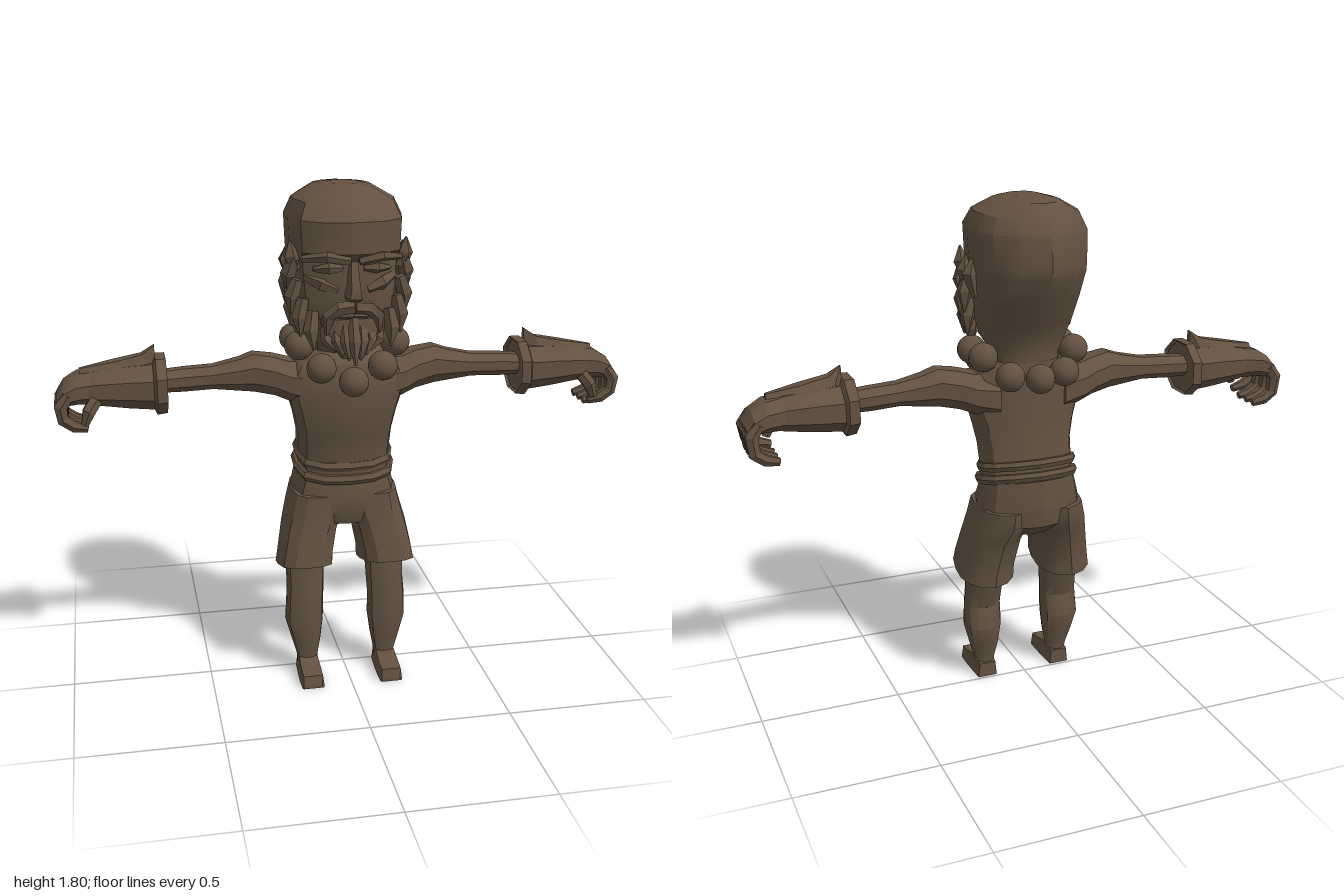
import * as THREE from 'three';
import { toCreasedNormals } from 'three/addons/utils/BufferGeometryUtils.js';

const brown = new THREE.MeshStandardMaterial({ color: 0x635141 });
brown.name = 'carvedBrown';

// Half outline of a body cross-section as (x, z) factors, front to back
const OUTLINE = [[0, 1], [0.5, 0.94], [0.87, 0.7], [1, 0.2], [1, -0.25], [0.86, -0.6], [0.5, -0.87], [0, -1]];
const RING = [...OUTLINE, ...OUTLINE.slice(1, -1).reverse().map(([x, z]) => [-x, z])];

// Skins a row of equal-sized rings of points, caps both ends and turns all faces outward
function loft(rings, crease = 0.5) {
  const n = rings[0].length, pos = rings.flat(2), idx = [];
  for (let i = 0; i < rings.length - 1; i++)
    for (let j = 0; j < n; j++) {
      const k = (j + 1) % n, a = i * n, b = a + n;
      idx.push(a + j, a + k, b + k, a + j, b + k, b + j);
    }
  [0, rings.length - 1].forEach((r, end) => {
    const c = pos.length / 3;
    for (let m = 0; m < 3; m++) pos.push(rings[r].reduce((s, p) => s + p[m], 0) / n);
    for (let j = 0; j < n; j++) {
      const a = r * n + j, b = r * n + (j + 1) % n;
      idx.push(c, ...(end ? [a, b] : [b, a]));
    }
  });
  const at = (i) => new THREE.Vector3().fromArray(pos, i * 3);
  let volume = 0;
  for (let i = 0; i < idx.length; i += 3) volume += at(idx[i]).dot(at(idx[i + 1]).cross(at(idx[i + 2])));
  if (volume < 0) idx.reverse();
  const g = new THREE.BufferGeometry();
  g.setAttribute('position', new THREE.Float32BufferAttribute(pos, 3));
  g.setIndex(idx);
  return toCreasedNormals(g, crease);
}

// Level ring: height, front z, back z, half width, centre x, slope along z
const level = ([y, zf, zb, w, cx = 0, tilt = 0]) => RING.map(([u, v]) => {
  const z = (zf + zb) / 2 + v * (zf - zb) / 2;
  return [cx + u * w, y + tilt * z, z];
});
const body = (rows, crease) => loft(rows.map(level), crease);

// Upright ring across an arm: x, bottom y, top y, back z, front z
const limb = (rows, s, sides = 8) => loft(rows.map(([x, y0, y1, z0, z1]) =>
  Array.from({ length: sides }, (_, i) => {
    const a = (i + 0.5) / sides * Math.PI * 2, k = 1 / Math.cos(Math.PI / sides);
    return [s * x, (y0 + y1) / 2 + Math.cos(a) * k * (y1 - y0) / 2, (z0 + z1) / 2 + Math.sin(a) * k * (z1 - z0) / 2];
  })), 0.45);

// Faceted tuft or finger swept through points with a radius at each
function strand(points, radii, sides = 5) {
  const v = points.map((p) => new THREE.Vector3(...p));
  const side = new THREE.Vector3(), up = new THREE.Vector3(), dir = new THREE.Vector3();
  return loft(v.map((p, i) => {
    dir.subVectors(v[Math.min(i + 1, v.length - 1)], v[Math.max(i - 1, 0)]).normalize();
    side.set(0, 0, 1).cross(dir);
    if (side.length() < 0.2) side.set(1, 0, 0);
    side.normalize();
    up.crossVectors(dir, side);
    return Array.from({ length: sides }, (_, j) => {
      const a = (j + 0.5) / sides * Math.PI * 2;
      return p.clone().addScaledVector(side, Math.cos(a) * radii[i]).addScaledVector(up, Math.sin(a) * radii[i]).toArray();
    });
  }), 0.3);
}

export function createModel() {
  const model = new THREE.Group();
  const add = (name, geometry, x = 0, y = 0, z = 0) => {
    const m = new THREE.Mesh(geometry, brown);
    m.name = name;
    m.position.set(x, y, z);
    model.add(m);
    return m;
  };

  // Bald skull narrowing to the neck
  add('head', body([
    [1.18, 0.08, -0.1, 0.11], [1.26, 0.11, -0.1, 0.12], [1.32, 0.16, -0.115, 0.15], [1.37, 0.18, -0.145, 0.165],
    [1.465, 0.185, -0.2, 0.177], [1.555, 0.185, -0.247, 0.185], [1.585, 0.222, -0.25, 0.19],
    [1.69, 0.222, -0.24, 0.195], [1.745, 0.18, -0.205, 0.17], [1.785, 0.12, -0.165, 0.1], [1.797, 0.07, -0.05, 0.05],
  ], 0.55));

  // Face
  add('nose', loft([[1.56, 0.018, 0.205], [1.47, 0.026, 0.236], [1.44, 0.034, 0.238], [1.425, 0.025, 0.21]].map(
    ([y, w, z]) => [[-w, y, 0.15], [w, y, 0.15], [w * 0.6, y, z], [-w * 0.6, y, z]]), 0.2));
  for (const s of [1, -1]) {
    add('brow', strand([[s * 0.015, 1.562, 0.21], [s * 0.09, 1.578, 0.212], [s * 0.165, 1.565, 0.15]], [0.014, 0.018, 0.012]));
    add('eyelid', strand([[s * 0.035, 1.535, 0.18], [s * 0.08, 1.535, 0.182], [s * 0.13, 1.53, 0.155]], [0.01, 0.02, 0.008]));
    add('cheek', strand([[s * 0.05, 1.46, 0.172], [s * 0.1, 1.48, 0.16], [s * 0.15, 1.5, 0.12]], [0.015, 0.026, 0.015]));
    add('moustache', strand([[0, 1.41, 0.212], [s * 0.05, 1.405, 0.206], [s * 0.085, 1.375, 0.185], [s * 0.09, 1.31, 0.18]],
      [0.022, 0.024, 0.024, 0.004]));
    add('ear', strand([[s * 0.18, 1.46, 0.0], [s * 0.197, 1.54, -0.0], [s * 0.185, 1.59, 0.0]], [0.012, 0.03, 0.01]));

    // Overlapping sideburn tufts, each given by its root and tip
    const tufts = [
      [0.178, 1.52, 0.09, 0.198, 1.62, 0.1], [0.19, 1.5, 0.05, 0.2, 1.6, 0.04], [0.185, 1.56, 0.1, 0.205, 1.45, 0.07],
      [0.185, 1.54, 0.05, 0.207, 1.4, 0.035], [0.175, 1.49, 0.11, 0.198, 1.37, 0.1], [0.172, 1.45, 0.06, 0.192, 1.32, 0.05],
      [0.16, 1.43, 0.13, 0.172, 1.3, 0.14], [0.155, 1.39, 0.09, 0.162, 1.27, 0.09], [0.13, 1.39, 0.15, 0.132, 1.26, 0.175],
    ];
    for (const [x, y, z, X, Y, Z] of tufts)
      add('sideburn', strand([[s * x, y, z], [s * ((x + X) / 2 + 0.008), (y + Y) / 2, (z + Z) / 2], [s * X, Y, Z]], [0.02, 0.028, 0.003]));
  }
  add('lowerLip', strand([[-0.05, 1.375, 0.18], [0, 1.382, 0.196], [0.05, 1.375, 0.18]], [0.01, 0.014, 0.01]));

  // Chin beard
  add('beard', body([[1.23, 0.2, 0.14, 0.04], [1.29, 0.205, 0.1, 0.085], [1.365, 0.195, 0.1, 0.11]]));
  for (let i = -3; i <= 3; i++) {
    const x = i * 0.03, d = Math.abs(i) * 0.012;
    add('beardStrand', strand([[x, 1.365 - d, 0.185 - d], [x * 0.95, 1.29, 0.213 - d], [x * 0.65, 1.215 + d * 1.2, 0.23 - d]],
      [0.018, 0.024, 0.004]));
  }

  // Torso with chest and back
  add('torso', body([
    [0.74, 0.12, -0.15, 0.165], [0.86, 0.12, -0.13, 0.165], [0.93, 0.14, -0.115, 0.168], [1.0, 0.155, -0.11, 0.182],
    [1.08, 0.158, -0.1, 0.205], [1.15, 0.155, -0.1, 0.21], [1.195, 0.14, -0.1, 0.18], [1.235, 0.09, -0.1, 0.12],
  ]));

  // Sash of two sloping bands
  const band = (y, h, grow) => body([
    [y, 0.118 + grow, -0.148 - grow, 0.165 + grow, 0, -0.24], [y + h / 2, 0.126 + grow, -0.156 - grow, 0.172 + grow, 0, -0.24],
    [y + h, 0.118 + grow, -0.148 - grow, 0.165 + grow, 0, -0.24]], 0.2);
  add('lowerSash', band(0.785, 0.032, 0.01));
  add('upperSash', band(0.83, 0.032, 0.004));

  // Shorts
  add('shortsSeat', body([
    [0.6, 0.11, -0.1, 0.13], [0.65, 0.128, -0.165, 0.192], [0.72, 0.128, -0.178, 0.182], [0.79, 0.118, -0.165, 0.165, 0, -0.2],
  ]));
  for (const s of [1, -1]) {
    add('shortsLeg', body([
      [0.425, 0.125, -0.075, 0.075, s * 0.15, 0.18], [0.43, 0.16, -0.1, 0.1, s * 0.15, 0.18],
      [0.48, 0.155, -0.102, 0.097, s * 0.145, 0.12], [0.58, 0.135, -0.125, 0.097, s * 0.127],
      [0.65, 0.13, -0.165, 0.1, s * 0.105], [0.71, 0.125, -0.17, 0.09, s * 0.1],
    ]));

    // Bare legs with knees and calves
    add('leg', body([
      [0.03, 0.085, 0.015, 0.036, s * 0.145], [0.07, 0.085, 0.015, 0.038, s * 0.145], [0.13, 0.095, -0.005, 0.052, s * 0.148],
      [0.21, 0.102, -0.022, 0.068, s * 0.154], [0.29, 0.098, 0, 0.067, s * 0.152], [0.36, 0.1, -0.025, 0.066, s * 0.148],
      [0.46, 0.09, -0.05, 0.07, s * 0.148],
    ]));
    // Foot, highest under the ankle, with a toe block in front
    const slab = (rows) => loft(rows.map(([z, h, w]) =>
      [[-1, 0], [1, 0], [0.85, h], [-0.85, h]].map(([u, y]) => [s * 0.145 + u * w, y, z])), 0.2);
    add('foot', slab([[0.01, 0.055, 0.036], [0.08, 0.068, 0.04], [0.14, 0.052, 0.042], [0.19, 0.046, 0.041], [0.198, 0.012, 0.036]]));

    // Arm from shoulder to wrist
    add('arm', limb([
      [0.12, 1.03, 1.19, -0.09, 0.13], [0.2, 1.055, 1.195, -0.085, 0.12], [0.25, 1.075, 1.21, -0.07, 0.1],
      [0.32, 1.09, 1.222, -0.052, 0.085], [0.37, 1.095, 1.205, -0.042, 0.075], [0.46, 1.105, 1.185, -0.035, 0.068],
      [0.56, 1.1, 1.18, -0.035, 0.062], [0.67, 1.1, 1.17, -0.035, 0.06],
    ], s));

    // Bracer with flared cuff and raised crest
    add('bracerCuff', limb([[0.63, 1.04, 1.215, -0.09, 0.115], [0.62, 1.035, 1.225, -0.1, 0.125],
      [0.655, 1.03, 1.225, -0.1, 0.125], [0.665, 1.05, 1.205, -0.08, 0.105]], s, 8));
    add('bracer', limb([[0.65, 1.045, 1.205, -0.083, 0.105], [0.75, 1.055, 1.2, -0.08, 0.098],
      [0.86, 1.07, 1.188, -0.075, 0.09], [0.885, 1.08, 1.175, -0.07, 0.085]], s));
    add('bracerCrest', loft([[0.655, 1.265, 0.02], [0.7, 1.235, 0.05], [0.8, 1.215, 0.06], [0.91, 1.195, 0.02]].map(
      ([x, y, w]) => [[s * x, 1.17, 0.01 - w], [s * x, 1.17, 0.01 + w], [s * x, y, 0.01 + w * 0.4], [s * x, y, 0.01 - w * 0.4]]), 0.2));

    // Hand with four curled fingers and a thumb
    add('hand', limb([[0.86, 1.075, 1.185, -0.075, 0.085], [0.92, 1.075, 1.178, -0.088, 0.09],
      [0.965, 1.07, 1.15, -0.092, 0.09], [0.99, 1.06, 1.11, -0.085, 0.085]], s));
    for (let i = 0; i < 4; i++) {
      const z = -0.076 + i * 0.05, drop = i === 3 ? 0.015 : 0;
      add('finger', strand([[s * 0.95, 1.12, z], [s * 0.977, 1.08, z], [s * 0.97, 1.02 + drop, z], [s * 0.935, 0.995 + drop, z], [s * 0.89, 0.985 + drop, z]],
        [0.022, 0.025, 0.023, 0.021, 0.014], 6));
    }
    add('thumb', strand([[s * 0.86, 1.1, 0.08], [s * 0.885, 1.065, 0.1], [s * 0.9, 1.02, 0.098]], [0.024, 0.024, 0.014], 6));
  }

  // Necklace of large beads
  const bead = new THREE.SphereGeometry(0.051, 20, 14);
  const beads = [[0, 1.15, 0.2], [0, 1.19, -0.148]];
  for (const s of [1, -1])
    beads.push([s * 0.106, 1.195, 0.17], [s * 0.168, 1.256, 0.08], [s * 0.168, 1.256, -0.04], [s * 0.1, 1.2, -0.122]);
  for (const p of beads) add('bead', bead, ...p);

  return model;
}
